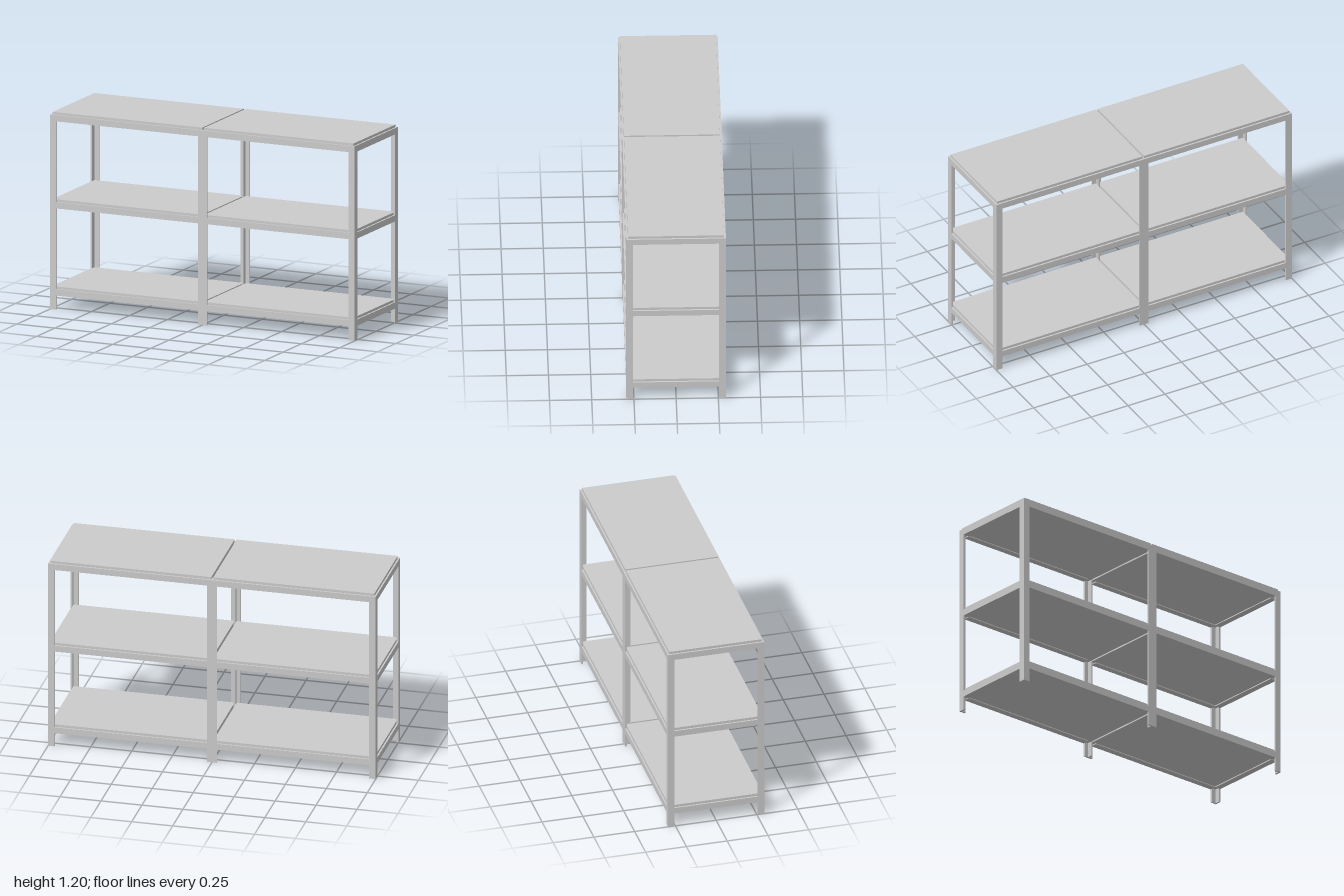
import * as THREE from 'three';

const W = 1, D = 0.295;            // half width and half depth
const T = 0.01, LEG = 0.04;        // steel thickness and leg width
const POST_H = 1.18, BEAM_H = 0.038;
const LEVELS = [0.085, 0.614, 1.142]; // underside of the beams

export function createModel() {
  const model = new THREE.Group();
  const steel = new THREE.MeshStandardMaterial({ color: 0xcccccc });

  // Box given by its lower and upper corners
  function box(name, x0, x1, y0, y1, z0, z1) {
    const mesh = new THREE.Mesh(new THREE.BoxGeometry(x1 - x0, y1 - y0, z1 - z0), steel);
    mesh.position.set((x0 + x1) / 2, (y0 + y1) / 2, (z0 + z1) / 2);
    mesh.name = name;
    model.add(mesh);
  }

  // Vertical post with a plan outline given for the +x, +z corner
  function post(name, outline, sx, sz) {
    const pts = outline.map(([x, z]) => new THREE.Vector2(x * sx, -z * sz));
    const geo = new THREE.ExtrudeGeometry(new THREE.Shape(pts), { depth: POST_H, bevelEnabled: false });
    geo.rotateX(-Math.PI / 2);
    const mesh = new THREE.Mesh(geo, steel);
    mesh.name = name;
    model.add(mesh);
  }

  const angle = [[W, D], [W - LEG, D], [W - LEG, D - T], [W - T, D - T], [W - T, D - LEG], [W, D - LEG]];
  const tee = [[-0.03, D], [0.03, D], [0.03, D - T], [0.005, D - T],
    [0.005, D - LEG], [-0.005, D - LEG], [-0.005, D - T], [-0.03, D - T]];

  // Angle posts at the corners, tee posts in the middle
  for (const sz of [1, -1]) {
    for (const sx of [1, -1]) post('cornerPost', angle, sx, sz);
    post('middlePost', tee, 1, sz);
  }

  for (const y of LEVELS) {
    const top = y + BEAM_H, lip = y + 0.006;
    for (const s of [1, -1]) {
      const span = (a, b) => [Math.min(a * s, b * s), Math.max(a * s, b * s)];
      // Long beams at front and back with an inward lip under the boards
      for (const side of [1, -1]) {
        const [x0, x1] = side > 0 ? [0.03, W - LEG] : [LEG - W, -0.03];
        box('longBeam', x0, x1, y, top, ...span(D - T, D));
        box('longBeamLip', x0, x1, y, lip, ...span(D - LEG, D - T));
      }
      // End beams
      box('endBeam', ...span(W - T, W), y, top, LEG - D, D - LEG);
      box('endBeamLip', ...span(W - LEG, W - T), y, lip, LEG - D, D - LEG);
      // Shelf board resting on the lips and rising above the beams
      box('shelfBoard', ...span(0.006, W - T - 0.001), lip, top + 0.015, T - D + 0.001, D - T - 0.001);
    }
  }
  return model;
}
